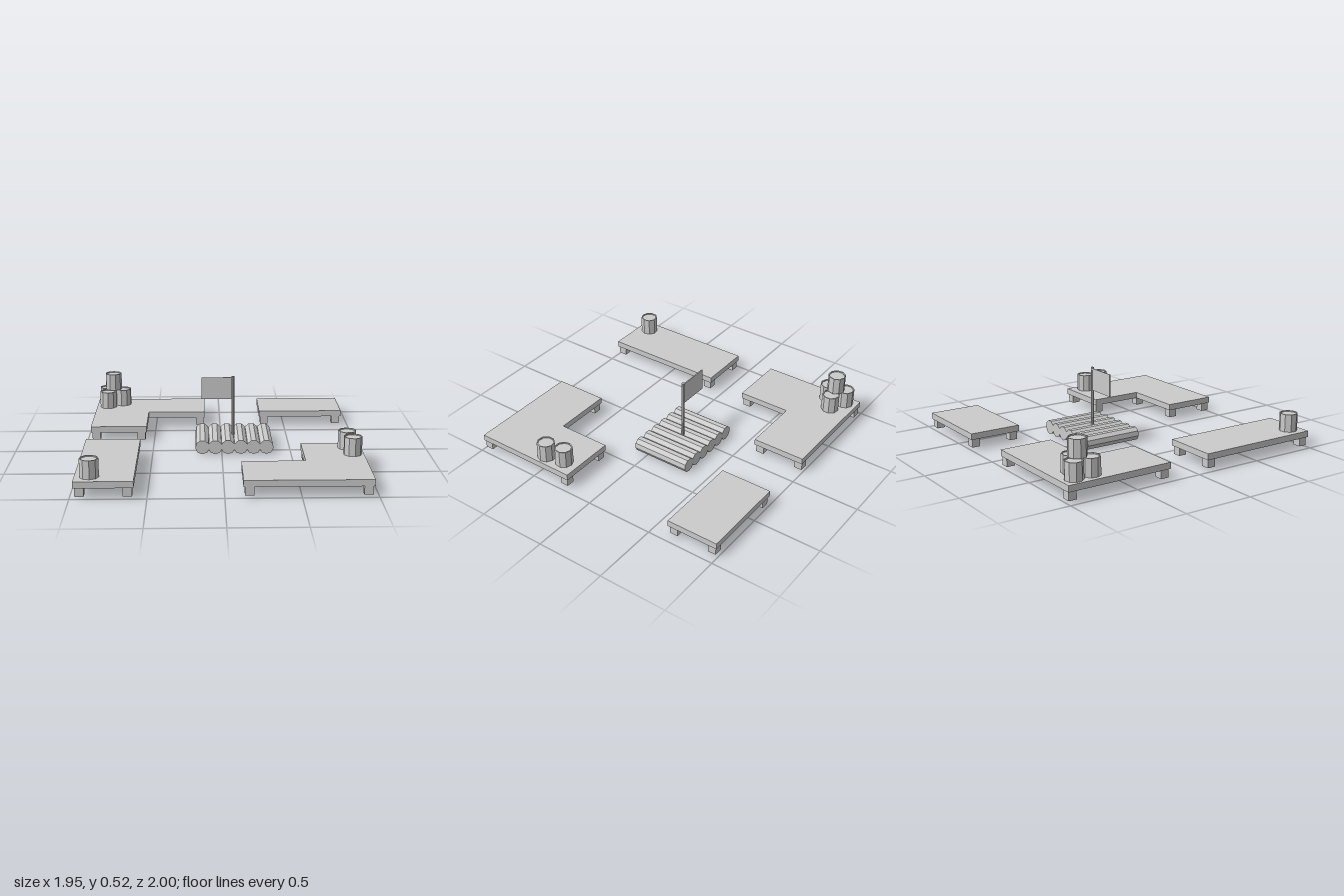
import * as THREE from 'three';

const mat = new THREE.MeshStandardMaterial({ color: 0xcccccc, flatShading: true, side: THREE.DoubleSide });

const DECK_BOTTOM = 0.075, DECK_TOP = 0.12;
const LEG = 0.06, LEG_BOTTOM = 0.015;
const BARREL_R = 0.064, BARREL_H = 0.127;

function addMesh(parent, name, geometry, x = 0, y = 0, z = 0) {
  const mesh = new THREE.Mesh(geometry, mat);
  mesh.name = name;
  mesh.position.set(x, y, z);
  parent.add(mesh);
  return mesh;
}

// Deck from a floor outline of [x, z] corners, with a leg at each leg position
function dock(name, outline, legs) {
  const group = new THREE.Group();
  group.name = name;
  const shape = new THREE.Shape(outline.map(([x, z]) => new THREE.Vector2(x, -z)));
  const deck = new THREE.ExtrudeGeometry(shape, { depth: DECK_TOP - DECK_BOTTOM, bevelEnabled: false });
  deck.rotateX(-Math.PI / 2);
  addMesh(group, 'deck', deck, 0, DECK_BOTTOM, 0);
  const h = DECK_BOTTOM - LEG_BOTTOM;
  for (const [x, z] of legs) {
    addMesh(group, 'leg', new THREE.BoxGeometry(LEG, h, LEG), x, LEG_BOTTOM + h / 2, z);
  }
  return group;
}

function rectDock(name, x0, x1, z0, z1) {
  const i = 0.04;
  return dock(name,
    [[x0, z0], [x1, z0], [x1, z1], [x0, z1]],
    [[x0 + i, z0 + i], [x1 - i, z0 + i], [x1 - i, z1 - i], [x0 + i, z1 - i]]);
}

// L-shaped dock; s = 1 puts the outer corner at front left, s = -1 at the back right
function cornerDock(name, s) {
  const outline = [[0.12, 0.605], [0.555, 0.605], [0.555, 0.215], [0.97, 0.215], [0.97, 0.995], [0.12, 0.995]];
  const legs = [[0.16, 0.645], [0.595, 0.645], [0.595, 0.255], [0.93, 0.255], [0.93, 0.96], [0.16, 0.96]];
  const turn = ([x, z]) => [s * x, s * z];
  return dock(name, outline.map(turn), legs.map(turn));
}

// Barrel with a narrow rim around a slightly sunken lid
function barrelGeometry() {
  const r = BARREL_R, h = BARREL_H;
  const profile = [[0, 0], [r, 0], [r, h], [r - 0.008, h], [r - 0.008, h - 0.008], [0, h - 0.008]];
  return new THREE.LatheGeometry(profile.map(([x, y]) => new THREE.Vector2(x, y)), 9);
}

export function createModel() {
  const model = new THREE.Group();
  model.name = 'raftAndDocks';

  // Four docks around the raft
  model.add(cornerDock('frontCornerDock', 1));
  model.add(cornerDock('backCornerDock', -1));
  model.add(rectDock('backDock', 0.305, 0.945, -0.995, -0.615));
  model.add(rectDock('frontDock', -0.975, -0.585, 0.09, 1));

  // Barrels: [x, z, stack level, turn]
  const barrels = [
    [-0.89, -0.905, 0, 0.2], [-0.768, -0.85, 0, 0.5], [-0.88, -0.772, 0, 0], [-0.842, -0.848, 1, 0.3],
    [-0.875, 0.9, 0, 0.1], [0.87, 0.325, 0, 0.4], [0.892, 0.465, 0, 0.15],
  ];
  const barrel = barrelGeometry();
  for (const [x, z, level, turn] of barrels) {
    addMesh(model, 'barrel', barrel, x, DECK_TOP + level * BARREL_H, z).rotation.y = turn;
  }

  // Raft of six parallel logs
  const raft = new THREE.Group();
  raft.name = 'raft';
  const log = new THREE.CylinderGeometry(0.052, 0.052, 0.435, 9);
  log.rotateX(Math.PI / 2);
  for (let i = 0; i < 6; i++) {
    addMesh(raft, 'log', log, -0.14 + i * 0.0925, 0.052, -0.128);
  }

  // Mast with a pointed foot, and its flag
  const mast = new THREE.LatheGeometry(
    [[0, 0.05], [0.011, 0.075], [0.011, 0.525], [0, 0.525]].map(([x, y]) => new THREE.Vector2(x, y)), 8);
  addMesh(raft, 'mast', mast, 0.086, 0, -0.124);
  addMesh(raft, 'flag', new THREE.BoxGeometry(0.228, 0.162, 0.008), -0.031, 0.436, -0.126);
  model.add(raft);

  return model;
}
